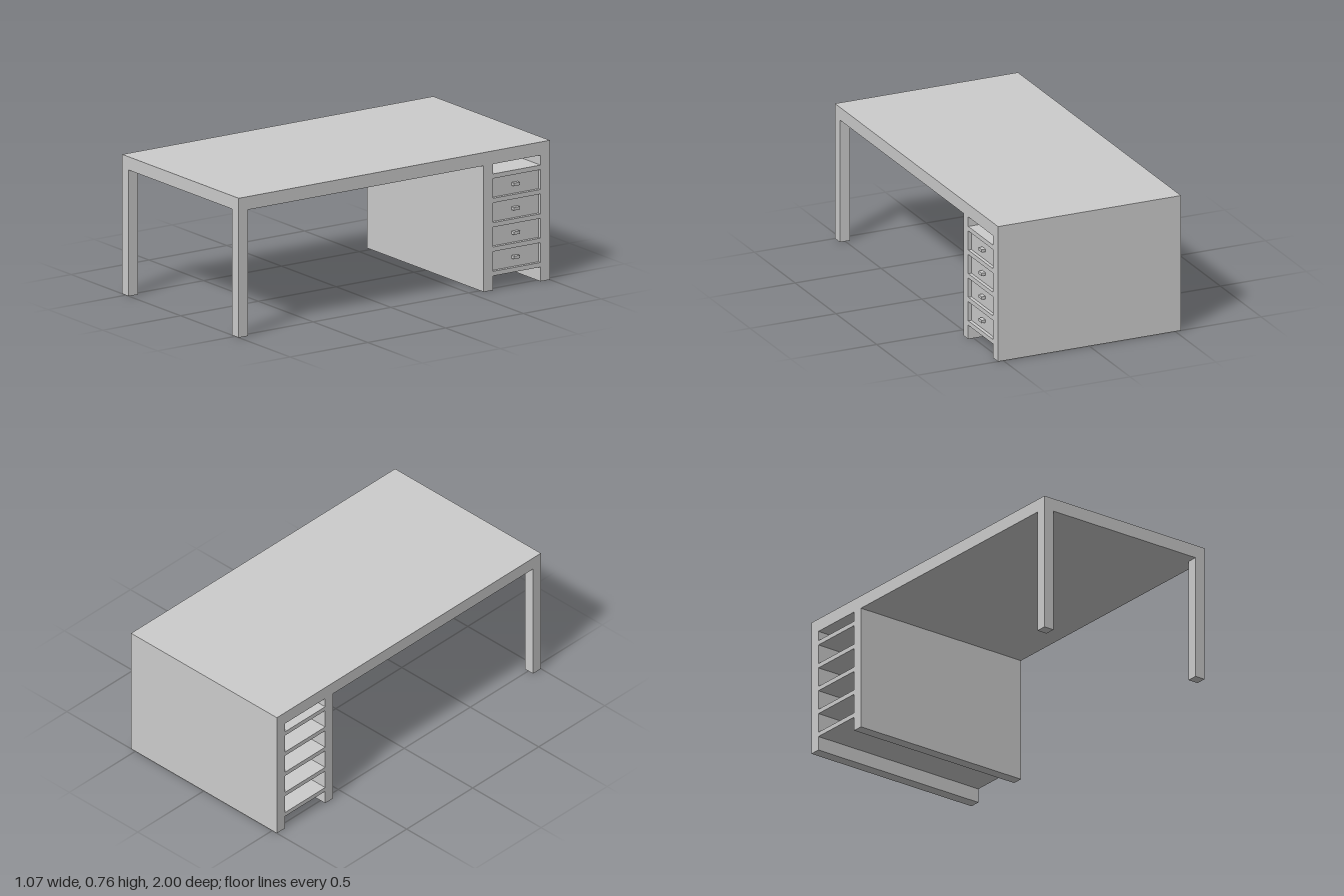
import * as THREE from 'three';

export function createModel() {
  const desk = new THREE.Group();
  desk.name = 'desk';
  const material = new THREE.MeshStandardMaterial({ color: 0xcccccc });

  // Adds a box given its extents along each axis
  function box(name, [x0, x1], [y0, y1], [z0, z1], parent = desk) {
    const mesh = new THREE.Mesh(new THREE.BoxGeometry(x1 - x0, y1 - y0, z1 - z0), material);
    mesh.position.set((x0 + x1) / 2, (y0 + y1) / 2, (z0 + z1) / 2);
    mesh.name = name;
    parent.add(mesh);
  }

  const back = -0.534, front = 0.531, under = 0.688, leg = 0.06;
  const width = [back, front];
  const bay = [-0.94, -0.634]; // space between the pedestal panels

  // Thick table top
  box('tableTop', width, [under, 0.76], [-1, 1]);

  // Two square legs at the open end
  box('legLeft', [front - leg, front], [0, under], [0.94, 1]);
  box('legRight', [back, back + leg], [0, under], [0.94, 1]);

  // Full-depth panels of the drawer pedestal
  box('outerPanel', width, [0, under], [-1, bay[0]]);
  box('innerPanel', width, [0, under], [bay[1], -0.575]);

  // Five shelves, four of them carrying a recessed drawer front with a handle
  const pitch = 0.1328, thickness = 0.025;
  for (let i = 0; i < 5; i++) {
    const y = 0.078 + i * pitch;
    box('shelf', width, [y, y + thickness], bay);
    if (i === 4) continue;
    const drawer = new THREE.Group();
    drawer.name = 'drawer';
    desk.add(drawer);
    const low = y + thickness, high = y + pitch, mid = (low + high) / 2;
    box('drawerFront', [0.49, 0.512], [low, high], bay, drawer);
    box('drawerHandle', [0.512, 0.534], [mid - 0.008, mid + 0.008], [-0.806, -0.766], drawer);
  }
  return desk;
}
